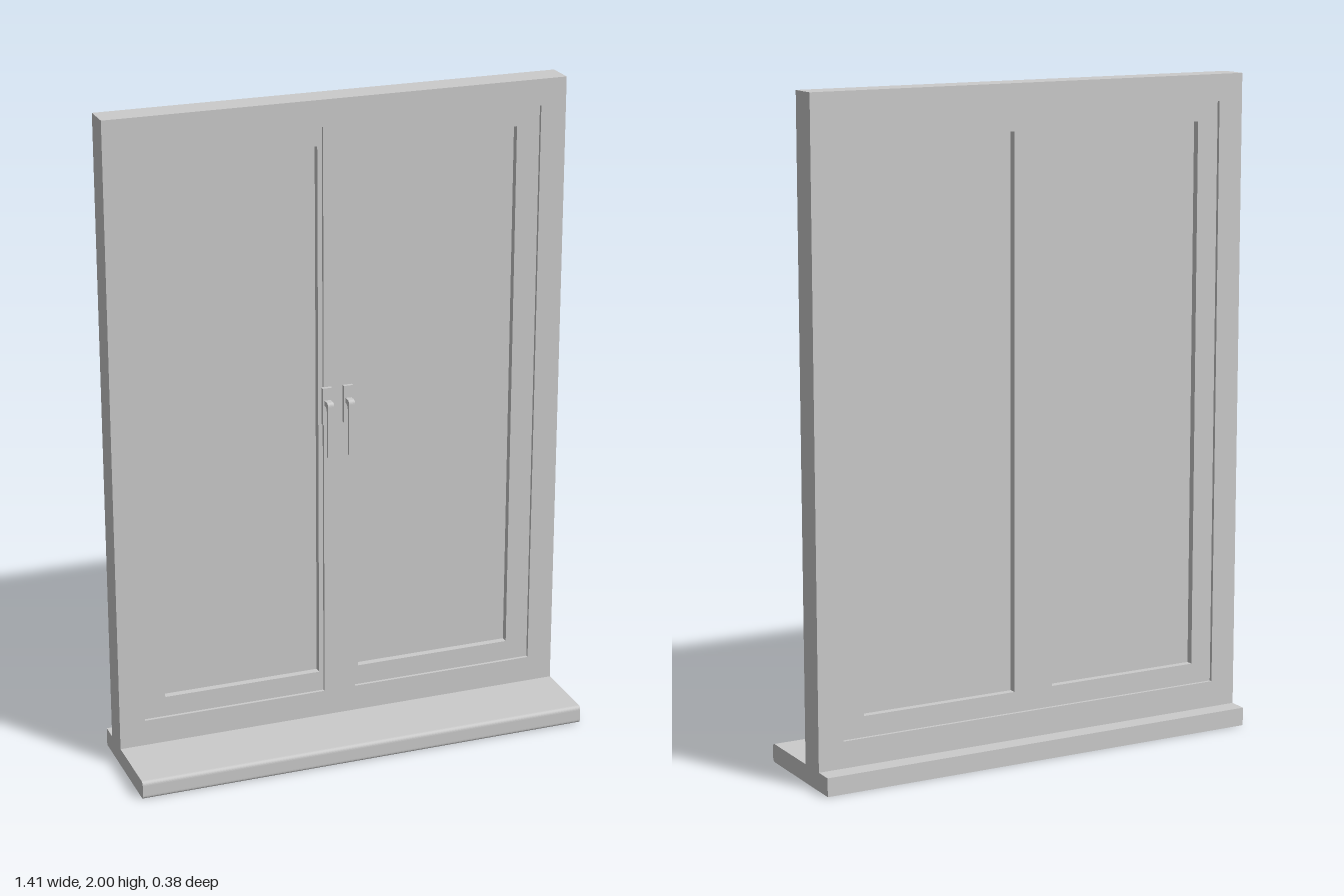
import * as THREE from 'three';

const material = new THREE.MeshStandardMaterial({ color: 0xcccccc });

function add(parent, name, geometry) {
  const mesh = new THREE.Mesh(geometry, material);
  mesh.name = name;
  parent.add(mesh);
  return mesh;
}

// Box given by its limits on each axis
function block(x0, x1, y0, y1, z0, z1) {
  return new THREE.BoxGeometry(x1 - x0, y1 - y0, z1 - z0)
    .translate((x0 + x1) / 2, (y0 + y1) / 2, (z0 + z1) / 2);
}

function rect(Type, x0, x1, y0, y1) {
  const s = new Type();
  s.moveTo(x0, y0);
  s.lineTo(x1, y0);
  s.lineTo(x1, y1);
  s.lineTo(x0, y1);
  s.closePath();
  return s;
}

// Rectangular ring: outer and inner are [x0, x1, y0, y1]
function ring(outer, inner, z0, z1) {
  const shape = rect(THREE.Shape, ...outer);
  shape.holes.push(rect(THREE.Path, ...inner));
  return new THREE.ExtrudeGeometry(shape, { depth: z1 - z0, bevelEnabled: false }).translate(0, 0, z0);
}

// Side profile drawn in (z, y), extruded along x and centred on it
function sideExtrude(shape, width) {
  return new THREE.ExtrudeGeometry(shape, { depth: width, bevelEnabled: false, curveSegments: 6 })
    .translate(0, 0, -width / 2)
    .rotateY(-Math.PI / 2)
    .scale(1, 1, 1);
}

function createHandle(x) {
  const handle = new THREE.Group();
  handle.name = 'handle';
  handle.position.set(x, 0, 0);
  add(handle, 'handlePlate', block(-0.015, 0.015, 1.015, 1.13, -0.042, -0.029));

  // Neck and lever bent in one piece
  const s = new THREE.Shape();
  s.moveTo(-0.035, 1.092);
  s.lineTo(-0.01, 1.092);
  s.quadraticCurveTo(0, 1.092, 0, 1.08);
  s.lineTo(0, 0.92);
  s.lineTo(-0.01, 0.92);
  s.lineTo(-0.01, 1.06);
  s.quadraticCurveTo(-0.011, 1.074, -0.022, 1.076);
  s.lineTo(-0.035, 1.076);
  s.closePath();
  add(handle, 'handleLever', sideExtrude(s, 0.019));
  return handle;
}

export function createModel() {
  const model = new THREE.Group();
  model.name = 'window';

  // Sill with a rounded front edge
  const s = new THREE.Shape();
  const h = 0.056, r = 0.012, front = 0.188, back = -0.188;
  s.moveTo(back, 0);
  s.lineTo(front - r, 0);
  s.quadraticCurveTo(front, 0, front, r);
  s.lineTo(front, h - r);
  s.quadraticCurveTo(front, h, front - r, h);
  s.lineTo(back, h);
  s.closePath();
  add(model, 'sill', sideExtrude(s, 1.414));

  // Outer frame and centre post
  const y0 = 0.137, y1 = 1.92;
  add(model, 'frame', ring([-0.707, 0.707, h, 2], [-0.628, 0.628, y0, y1], -0.13, -0.04));
  add(model, 'centrePost', block(-0.053, 0.047, y0, y1, -0.12, -0.04));

  // Two sashes, each with its pane
  const sashes = [
    { side: 'right', outer: [-0.628, -0.053], inner: [-0.56, -0.067] },
    { side: 'left', outer: [0.047, 0.628], inner: [0.061, 0.556] },
  ];
  for (const { side, outer, inner } of sashes) {
    add(model, side + 'Sash', ring([...outer, y0, y1], [...inner, 0.2, 1.862], -0.12, -0.05));
    add(model, side + 'Pane', block(...inner, 0.2, 1.862, -0.098, -0.072));
  }

  // Handles on the centre post
  model.add(createHandle(-0.045), createHandle(0.021));
  return model;
}
